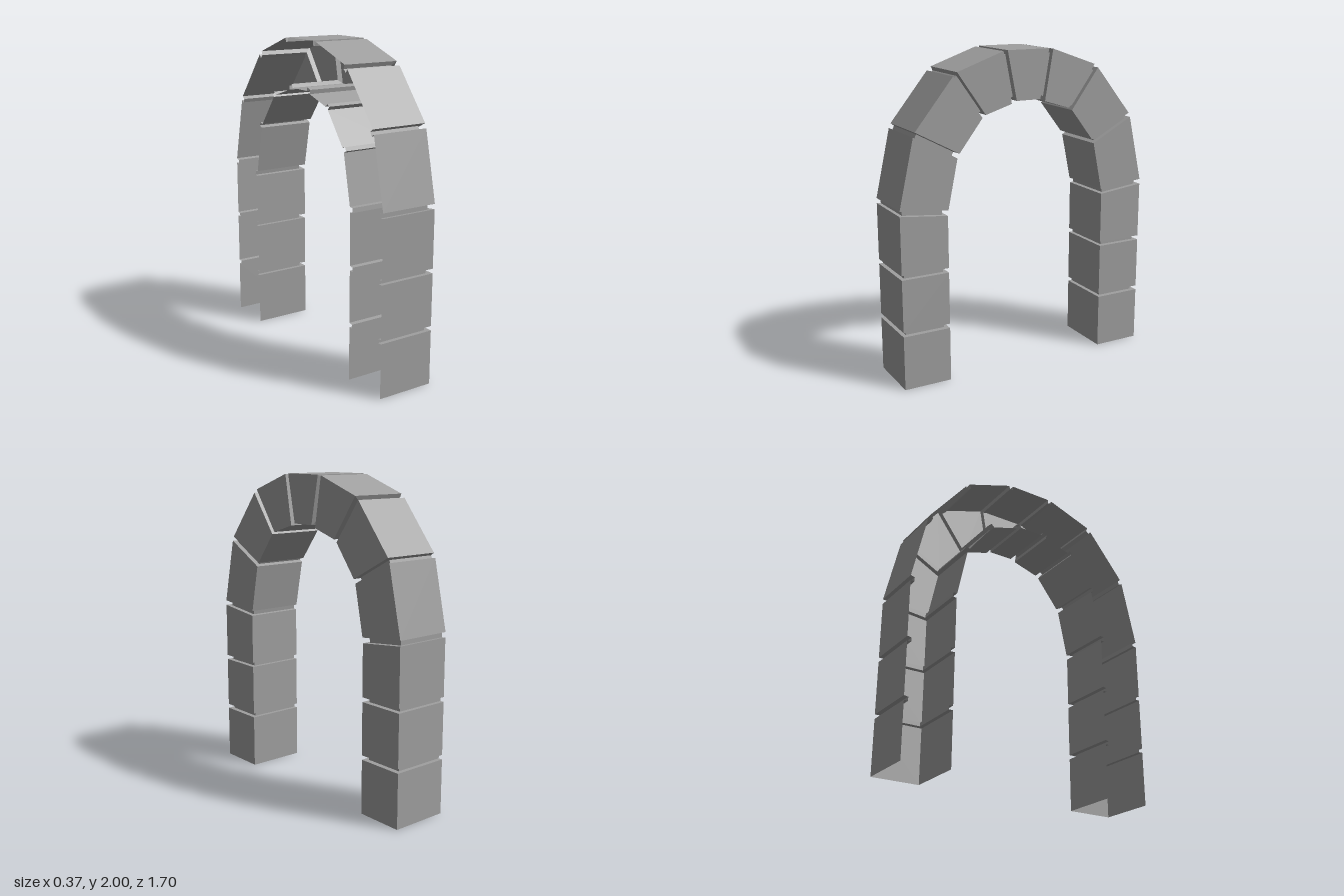
import * as THREE from 'three';

const FACE = 0.187, RECESS = 0.155, OUTER_BACK = -0.18, INNER_BACK = -0.187, INSET = 0.026;

// Blocks of one half, ground to crown: [outer z, outer y, inner z, inner y] at the lower and upper end
const BLOCKS = [
  [[0.85, 0, 0.546, 0], [0.85, 0.342, 0.546, 0.342]],
  [[0.85, 0.37, 0.546, 0.37], [0.85, 0.698, 0.546, 0.698]],
  [[0.85, 0.727, 0.546, 0.727], [0.85, 1.084, 0.546, 1.051]],
  [[0.85, 1.116, 0.542, 1.084], [0.755, 1.537, 0.478, 1.39]],
  [[0.743, 1.565, 0.464, 1.416], [0.498, 1.867, 0.311, 1.614]],
  [[0.472, 1.89, 0.289, 1.63], [0.17, 1.996, 0.115, 1.683]],
];
const KEY = [0.142, 2, 0.081, 1.698];

const mirror = ([oz, oy, iz, iy]) => [-oz, oy, -iz, iy];
const lerp = (a, b, t) => a.map((v, i) => v + (b[i] - v) * t);

// Narrow a section on both sides for the recessed joint
function shrink([oz, oy, iz, iy]) {
  const t = INSET / Math.hypot(iz - oz, iy - oy);
  const dz = (iz - oz) * t, dy = (iy - oy) * t;
  return [oz + dz, oy + dy, iz - dz, iy - dy];
}

// U-shaped cross-section, open towards the back
const channel = ([oz, oy, iz, iy], x) => [
  [OUTER_BACK, oy, oz], [x, oy, oz], [x, iy, iz], [INNER_BACK, iy, iz],
];

const material = new THREE.MeshStandardMaterial({
  color: 0xa0a0a0, flatShading: true, side: THREE.DoubleSide,
});

// Join successive channels into a faceted shell
function shell(name, rows) {
  const pos = [];
  for (let k = 0; k < rows.length - 1; k++) {
    for (let j = 0; j < 3; j++) {
      const a = rows[k][j], b = rows[k][j + 1], c = rows[k + 1][j + 1], d = rows[k + 1][j];
      pos.push(...a, ...b, ...c, ...a, ...c, ...d);
    }
  }
  const geometry = new THREE.BufferGeometry();
  geometry.setAttribute('position', new THREE.Float32BufferAttribute(pos, 3));
  geometry.computeVertexNormals();
  const mesh = new THREE.Mesh(geometry, material);
  mesh.name = name;
  return mesh;
}

export function createModel() {
  const arch = new THREE.Group();
  arch.name = 'stoneArch';

  for (const side of [1, -1]) {
    const half = new THREE.Group();
    half.name = side > 0 ? 'frontHalf' : 'backHalf';
    // The mirrored half runs in reverse so that its faces still point outwards
    const add = (name, sections) => {
      const rows = sections.map(([s, x]) => channel(side > 0 ? s : mirror(s), x));
      half.add(shell(name, side > 0 ? rows : rows.reverse()));
    };
    BLOCKS.forEach(([low, high], i) => {
      add(i < 3 ? 'pillarBlock' : 'archBlock', [[low, FACE], [high, FACE]]);
      // Recessed joint, with a slightly sloping underside on the next block
      const next = i < BLOCKS.length - 1 ? BLOCKS[i + 1][0] : KEY;
      add('mortarJoint', [
        [high, FACE],
        [shrink(high), RECESS],
        [shrink(lerp(high, next, 0.85)), RECESS],
        [next, FACE],
      ]);
    });
    arch.add(half);
  }

  // Wedge at the crown
  arch.add(shell('keystone', [channel(KEY, FACE), channel(mirror(KEY), FACE)]));
  return arch;
}
